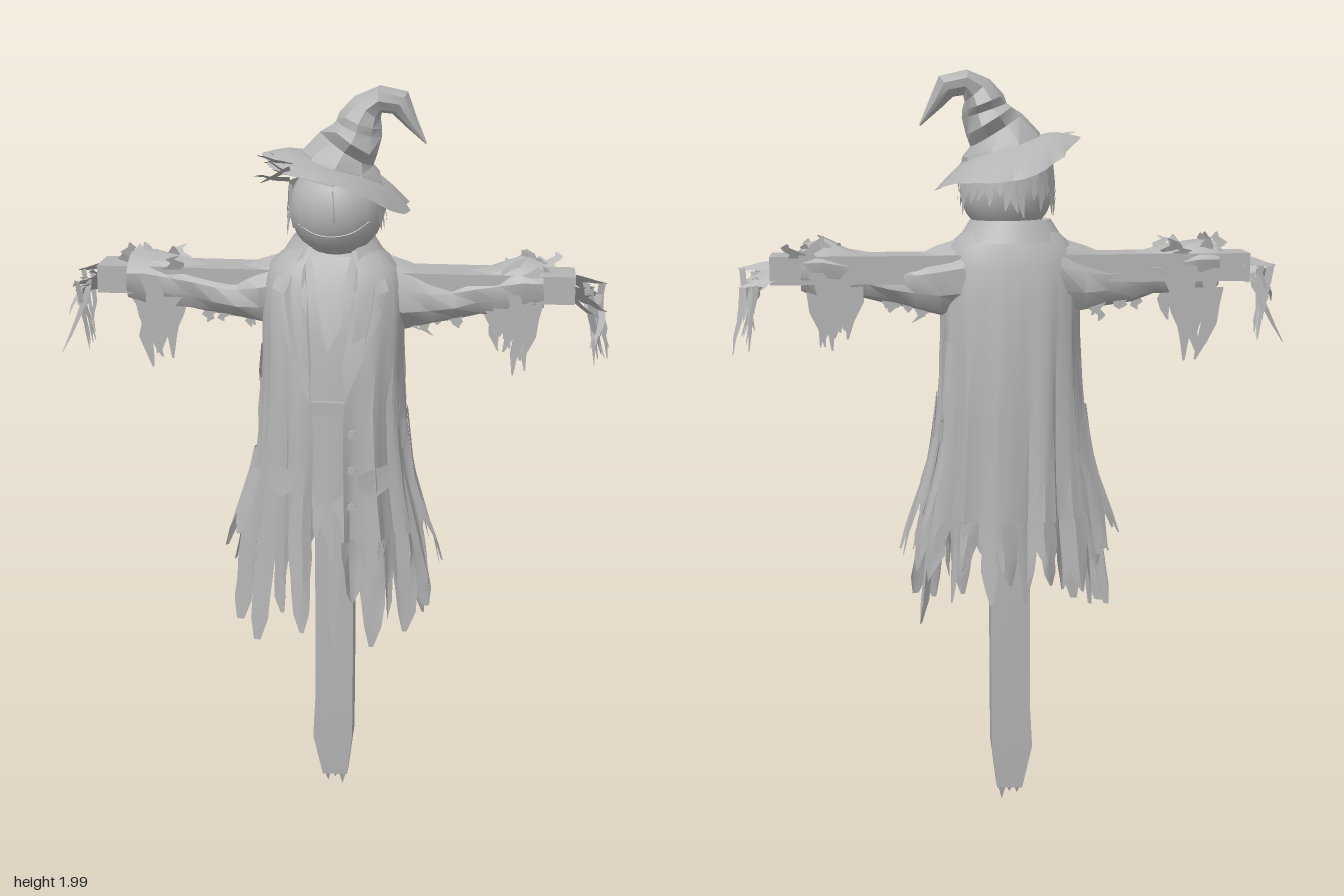
import * as THREE from 'three';
import { mergeGeometries, toCreasedNormals } from 'three/addons/utils/BufferGeometryUtils.js';

const V = (x, y, z) => new THREE.Vector3(x, y, z);
const { lerp, clamp } = THREE.MathUtils;

export function createModel() {
  const model = new THREE.Group();
  const cloth = new THREE.MeshStandardMaterial({ color: 0xb4b4b4, side: THREE.DoubleSide });
  cloth.name = 'weathered grey';

  let seed = 7;
  const rnd = (a = 0, b = 1) => {
    seed = (seed * 16807) % 2147483647;
    return a + (b - a) * seed / 2147483647;
  };
  const add = (name, geos, crease = 0.6) => {
    const list = [].concat(geos).map(g => {
      g.deleteAttribute('uv');
      return toCreasedNormals(g, crease);
    });
    const mesh = new THREE.Mesh(list.length > 1 ? mergeGeometries(list) : list[0], cloth);
    mesh.name = name;
    model.add(mesh);
  };

  // Surface from a rule f(u, v) with u and v in 0..1
  const grid = (nu, nv, f) => {
    const pos = [], idx = [];
    for (let j = 0; j <= nv; j++) for (let i = 0; i <= nu; i++) pos.push(...f(i / nu, j / nv).toArray());
    for (let j = 0; j < nv; j++) for (let i = 0; i < nu; i++) {
      const a = j * (nu + 1) + i, b = a + nu + 1;
      idx.push(a, a + 1, b, b, a + 1, b + 1);
    }
    const g = new THREE.BufferGeometry();
    g.setAttribute('position', new THREE.Float32BufferAttribute(pos, 3));
    g.setIndex(idx);
    return g;
  };

  // Loft along sections [x, y, z, radius in the xy plane, radius in z]
  const loft = (rows, sides, phase = 0, rough = 0) => {
    const rings = rows.map((r, j) => {
      const p = rows[Math.max(j - 1, 0)], q = rows[Math.min(j + 1, rows.length - 1)];
      const t = V(q[0] - p[0], q[1] - p[1], 0).normalize();
      return Array.from({ length: sides }, (_, i) => {
        const a = phase + i / sides * Math.PI * 2, k = 1 + rnd(-rough, rough);
        return V(r[0] + t.y * r[3] * Math.cos(a) * k, r[1] - t.x * r[3] * Math.cos(a) * k, r[2] + r[4] * Math.sin(a) * k);
      });
    });
    return grid(sides, rows.length - 1, (u, v) => rings[Math.round(v * (rows.length - 1))][Math.round(u * sides) % sides]);
  };

  // Ragged ribbon tapering from root to tip
  const ribbon = (root, tip, width, across = V(1, 0, 0)) => {
    const n = 4, jog = Array.from({ length: n + 1 }, (_, i) => i ? rnd(-0.3, 0.3) * width : 0);
    return grid(1, n, (u, v) => root.clone().lerp(tip, v)
      .addScaledVector(across, (u - 0.5) * width * (1 - 0.9 * v * v) + jog[Math.round(v * n)]));
  };

  // Post with a splintered foot, and crossbeam
  const s = Math.SQRT2;
  const post = [[0.005, 0.045, 0.035, 0.027], [-0.001, 0.17, 0.056, 0.034], [0.003, 0.3, 0.053, 0.036],
    [0.004, 0.9, 0.053, 0.037], [0.004, 1.58, 0.05, 0.037]].map(p => [p[0], p[1], -0.025, p[2] * s, p[3] * s]);
  const splinters = [[-0.016, 0.022], [0.005, 0.028], [0.026, 0.01]].flatMap(([x, y]) => [-0.038, -0.012].map(z => {
    const h = 0.06 - y + rnd(0, 0.008);
    return new THREE.ConeGeometry(0.019, h, 4, 1).rotateY(Math.PI / 4).rotateX(Math.PI).translate(x, 0.062 - h / 2, z);
  }));
  add('post', [loft(post, 4, Math.PI / 4), ...splinters], 0.3);
  add('crossbeam', new THREE.BoxGeometry(1.24, 0.072, 0.115).translate(0, 1.497, -0.035));

  // Coat cross-sections: y, half width, front z, back z, squareness exponent
  const profile = [[1.62, 0.075, 0.03, -0.08, 0.8], [1.59, 0.12, 0.06, -0.1, 0.8], [1.55, 0.165, 0.09, -0.115, 0.8],
    [1.48, 0.185, 0.118, -0.135, 0.8], [1.35, 0.183, 0.142, -0.15, 0.8], [1.2, 0.188, 0.158, -0.163, 0.82],
    [1.0, 0.205, 0.167, -0.173, 0.9], [0.8, 0.243, 0.184, -0.19, 1.02], [0.6, 0.265, 0.202, -0.21, 1.08],
    [0.45, 0.272, 0.212, -0.217, 1.1]];
  const section = y => {
    let i = 0;
    while (i < profile.length - 2 && profile[i + 1][0] > y) i++;
    const a = profile[i], b = profile[i + 1], t = clamp((a[0] - y) / (a[0] - b[0]), 0, 1);
    return [1, 2, 3, 4].map(k => lerp(a[k], b[k], t));
  };
  const pw = (c, e) => Math.sign(c) * Math.abs(c) ** e;
  const coatPoint = (a, y, k = 1, folds = 1) => {
    const [w, f, b, e] = section(y);
    const pleat = 0.07 * folds * clamp((1.5 - y) / 0.7, 0, 1);
    const r = k * (1 - pleat * 0.5 + pleat * (Math.sin(a * 13) + 0.4 * Math.sin(a * 29 + y * 3)));
    return V(w * r * pw(Math.sin(a), e), y, (f + b) / 2 + (f - b) / 2 * r * pw(Math.cos(a), e));
  };
  const gap = y => 0.16 + Math.max(0, y - 1.2) * 0.55 + Math.max(0, 1.1 - y) * 0.15;
  const coatYs = [1.62, 1.59, 1.55, 1.5, 1.42, 1.32, 1.2, 1.08, 0.96, 0.84];
  add('coat', grid(72, coatYs.length - 1, (u, v) => {
    const y = coatYs[Math.round(v * (coatYs.length - 1))], g = gap(y);
    return coatPoint(lerp(g, Math.PI * 2 - g, u), y);
  }), 0.7);

  // Torn strips lying on the coat's surface, shorter at the middle of the back
  const coatStrip = (a, half, top, tip, k, flare = 0) => {
    const lean = rnd(-0.5, 0.5) * half, nick = Array.from({ length: 6 }, () => rnd(0.8, 1.15));
    return grid(3, 5, (u, v) => coatPoint(a + (u - 0.5) * 2 * half * nick[Math.round(v * 5)] * (1 - 0.85 * v ** 3) + lean * v,
      lerp(top, tip, v), k + flare * v));
  };
  const hem = [], count = 26, g0 = gap(0.84), step = (Math.PI * 2 - 2 * g0) / count;
  for (let i = 0; i < count; i++) {
    const a = g0 + step * (i + 0.5), rise = 0.08 * Math.max(0, -Math.cos(a)) ** 4;
    hem.push(coatStrip(a, step * 0.57, 0.845, rise + (i % 2 ? rnd(0.53, 0.61) : rnd(0.6, 0.7)), 1));
  }
  add('raggedHem', hem, 0.7);
  const sideRags = [], tears = [];
  for (const side of [-1, 1]) {
    for (let i = 0; i < 7; i++) {
      sideRags.push(coatStrip(side * (1.65 + (i - 3) * 0.14), 0.11, rnd(0.98, 1.1), rnd(0.7, 0.82), 1.03, 0.13));
    }
    for (let i = 0; i < 7; i++) {
      const top = rnd(1.1, 1.36);
      tears.push(coatStrip(side * (1.6 + (i - 3) * 0.17), 0.07, top, top - rnd(0.12, 0.25), 1.02, 0.03));
    }
  }
  add('sideRags', sideRags);
  add('coatTears', tears);

  // Shirt, with loose strips hanging below it
  add('shirt', grid(32, 6, (u, v) => coatPoint(u * Math.PI * 2, lerp(1.6, 0.93 + 0.04 * Math.sin(u * 60), v), 0.86, 0.4)));
  add('shirtTails', [[-0.03, 0.84], [0.0, 0.78], [0.04, 0.84], [0.015, 0.5]].map(([x, y]) =>
    ribbon(V(x, 1.0, 0.12), V(x, y, 0.14), 0.05)));

  // Flat patches that follow the front of the coat
  const patch = (pts, lift) => {
    const g = new THREE.ShapeGeometry(new THREE.Shape(pts.map(p => new THREE.Vector2(...p))));
    const p = g.attributes.position;
    for (let i = 0; i < p.count; i++) {
      const [w, f, b, e] = section(p.getY(i));
      const c = Math.sqrt(Math.max(0, 1 - Math.min(1, Math.abs(p.getX(i)) / w) ** (2 / e)));
      p.setZ(i, (f + b) / 2 + (f - b) / 2 * pw(c, e) + lift);
    }
    return g;
  };
  const lapel = [[0.07, 1.6], [0.115, 1.585], [0.15, 1.5], [0.115, 1.49], [0.135, 1.45], [0.09, 1.33], [0.045, 1.22], [0.04, 1.32]];
  const pocket = [[0.08, 1.03], [0.16, 1.05], [0.165, 0.99], [0.12, 0.96], [0.085, 0.98]];
  for (const side of [-1, 1]) {
    const flip = pts => pts.map(([x, y]) => [x * side, y]);
    const name = side > 0 ? 'left' : 'right';
    add(name + 'Lapel', patch(flip(lapel), 0.012));
    add(name + 'PocketFlap', patch(flip(pocket), 0.014));
  }
  add('neckerchief', patch([[-0.05, 1.58], [0.05, 1.58], [0.03, 1.5], [0.035, 1.42], [0, 1.35], [-0.03, 1.43], [-0.03, 1.5]], -0.002));
  add('belt', new THREE.BoxGeometry(0.09, 0.035, 0.012).translate(0, 1.2, 0.139));
  add('buttons', [1.14, 1.04, 0.94].map(y =>
    new THREE.CylinderGeometry(0.011, 0.011, 0.008, 8).rotateX(Math.PI / 2).translate(0.065, y, 0.167)));

  // Turned-up collar, open at the front
  add('collar', grid(20, 2, (u, v) => {
    const a = lerp(0.55, Math.PI * 2 - 0.55, u), r = [0.085, 0.105, 0.14][Math.round(v * 2)];
    return V(Math.sin(a) * r, [1.61, 1.62, 1.565][Math.round(v * 2)], -0.02 + Math.cos(a) * r * 0.75);
  }));

  // Sleeves, cuff rags and straw hands
  for (const side of [-1, 1]) {
    const name = side > 0 ? 'left' : 'right';
    const rows = [[0.12, 1.47, 0.1, 0.08], [0.19, 1.462, 0.09, 0.078], [0.25, 1.46, 0.07, 0.068], [0.31, 1.466, 0.06, 0.063],
      [0.37, 1.478, 0.06, 0.062], [0.43, 1.486, 0.068, 0.063], [0.49, 1.495, 0.073, 0.07], [0.54, 1.498, 0.06, 0.068]]
      .map(r => [side * r[0], r[1], -0.03, r[2], r[3]]);
    add(name + 'Sleeve', loft(rows, 10, 0, 0.1));
    const rags = [], straw = [];
    for (let i = 0; i < 16; i++) {
      const x = side * rnd(0.4, 0.53), z = i % 2 ? rnd(0.0, 0.045) : rnd(-0.1, -0.06);
      rags.push(ribbon(V(x, rnd(1.43, 1.52), z), V(lerp(x, side * 0.455, 0.5), rnd(1.25, 1.4), z), rnd(0.03, 0.055)));
    }
    for (let i = 0; i < 10; i++) {
      const x = side * rnd(0.42, 0.56), z = rnd(-0.1, 0.04);
      rags.push(ribbon(V(x, 1.53, z), V(x + rnd(-0.05, 0.05), rnd(1.55, 1.585), z + rnd(-0.02, 0.02)), 0.045));
    }
    // Frayed threads under the upper sleeve
    for (let i = 0; i < 5; i++) {
      const x = side * rnd(0.2, 0.34), z = rnd(-0.07, 0.01);
      rags.push(ribbon(V(x, 1.42, z), V(x, rnd(1.35, 1.39), z), 0.04));
    }
    add(name + 'CuffRags', rags);
    for (let i = 0; i < 12; i++) {
      const z = rnd(-0.09, 0.01), bend = V(side * rnd(0.655, 0.71), rnd(1.43, 1.5), z + rnd(-0.02, 0.02));
      straw.push(ribbon(V(side * 0.6, rnd(1.47, 1.52), z), bend, 0.03, V(0, 0.7, 0.7)));
      straw.push(ribbon(V(bend.x - side * 0.012, bend.y + 0.005, bend.z),
        V(side * rnd(0.65, 0.735), rnd(1.28, 1.42), bend.z + rnd(-0.03, 0.05)), 0.022, V(0.8, 0, 0.6)));
    }
    add(name + 'StrawHand', straw);
  }

  // Sack head with seams and a straw fringe
  add('head', new THREE.SphereGeometry(0.122, 16, 12).scale(1, 1, 0.95).translate(0.008, 1.695, 0.005), 0.8);
  const seam = pts => new THREE.TubeGeometry(new THREE.CatmullRomCurve3(pts.map(([x, y]) =>
    V(x + 0.008, y + 1.695, 0.005 + 0.95 * Math.sqrt(0.0149 - x * x - y * y)))), 12, 0.002, 4);
  add('headSeams', [seam([[-0.09, -0.03], [-0.045, -0.05], [0, -0.055], [0.05, -0.045], [0.09, -0.02]]),
    seam([[0.0, 0.06], [0.005, 0], [0, -0.1]])]);
  const fringe = [];
  for (let i = 0; i < 22; i++) {
    const a = lerp(1.2, Math.PI * 2 - 1.2, i / 21), c = Math.sin(a), d = Math.cos(a);
    fringe.push(ribbon(V(0.008 + c * 0.12, 1.76, d * 0.115), V(0.008 + c * 0.128, rnd(1.62, 1.69), d * 0.123), 0.035, V(d, 0, -c)));
  }
  add('strawFringe', fringe);

  // Floppy tilted hat brim with a torn edge, lifted over the face and drooping at the back
  const edge = Array.from({ length: 40 }, () => rnd(0.94, 1.04));
  add('hatBrim', grid(40, 4, (u, v) => {
    const a = u * Math.PI * 2, r = lerp(0.085, 0.2 * (v === 1 ? edge[Math.round(u * 40) % 40] : 1), v);
    const x = 0.008 + r * Math.sin(a) * 0.92, z = r * Math.cos(a) * 1.05;
    const lift = 0.03 * v * v * Math.max(0, Math.cos(a + 0.35)) ** 2 - 0.024 * v * Math.max(0, -Math.cos(a)) ** 2;
    return V(x, 1.81 - 0.3 * x - 0.05 * v * v + 0.012 * v * Math.sin(a * 3 + 0.6) + lift, z);
  }), 0.7);
  const brimRags = [];
  for (let i = 0; i < 9; i++) {
    const z = rnd(0.04, 0.18);
    brimRags.push(ribbon(V(-0.09, rnd(1.79, 1.82), z), V(rnd(-0.185, -0.14), rnd(1.78, 1.84), z), 0.03, V(0, 0.5, 0.85)));
  }
  add('brimRags', brimRags);

  // Crumpled crown with pinched folds, its tip folded over
  add('hatCrown', loft([[0.01, 1.765, 0, 0.122, 0.118], [0.018, 1.81, 0, 0.106, 0.1], [0.035, 1.845, 0.0, 0.076, 0.078],
    [0.055, 1.87, 0.005, 0.073, 0.1], [0.066, 1.895, 0, 0.057, 0.075], [0.07, 1.915, -0.01, 0.056, 0.088],
    [0.085, 1.945, -0.015, 0.044, 0.062], [0.115, 1.967, -0.02, 0.032, 0.066], [0.165, 1.957, -0.025, 0.032, 0.045],
    [0.19, 1.915, -0.02, 0.018, 0.028], [0.232, 1.858, -0.015, 0.002, 0.002]], 9, 0.2, 0.1), 0.5);
  return model;
}
